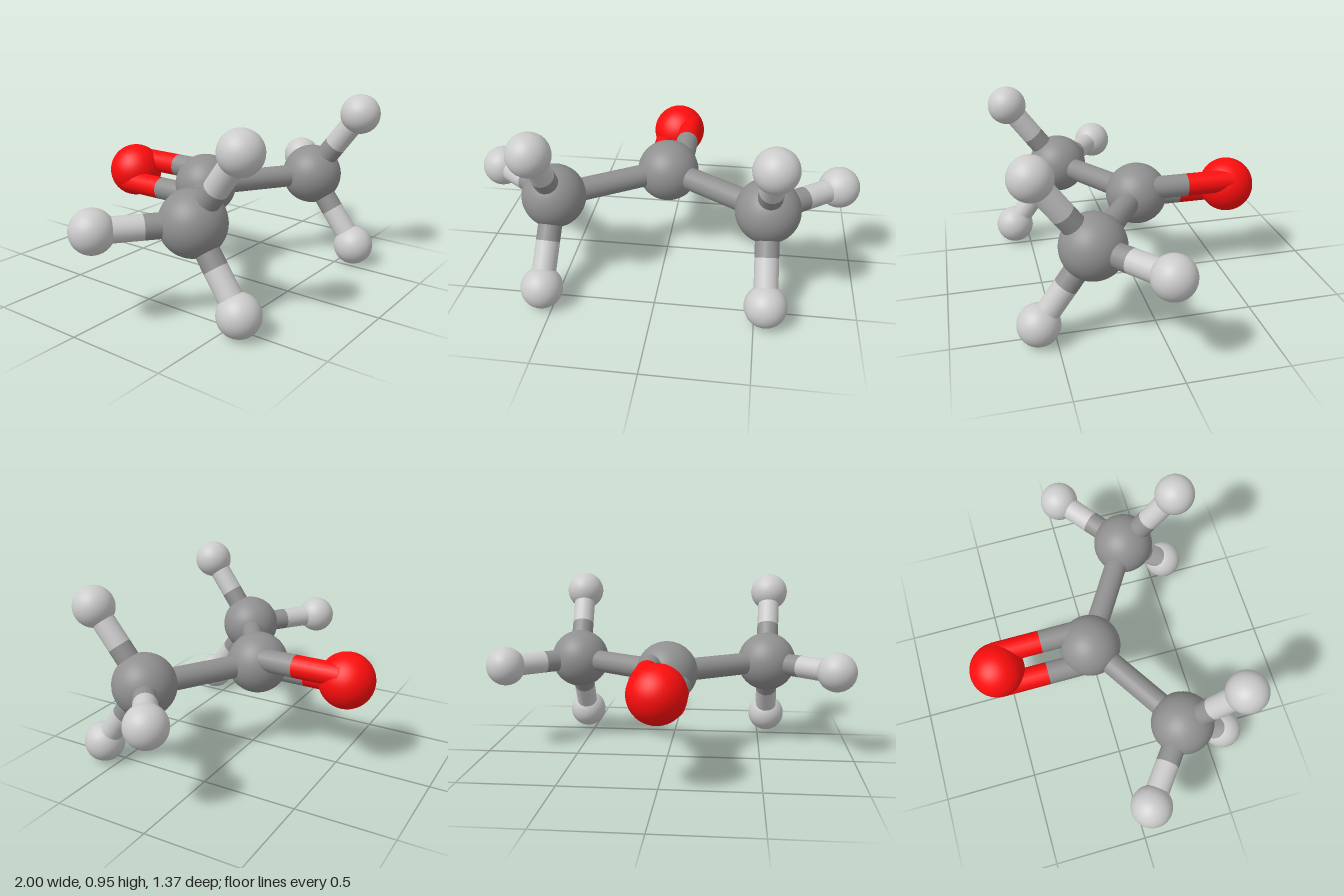
import * as THREE from 'three';

const MATERIALS = {
  carbon: new THREE.MeshStandardMaterial({ color: 0x909090 }),
  hydrogen: new THREE.MeshStandardMaterial({ color: 0xcccccc }),
  oxygen: new THREE.MeshStandardMaterial({ color: 0xff0d0d }),
};
const RADII = { carbon: 0.162, hydrogen: 0.105, oxygen: 0.145 };
const BOND_RADIUS = 0.06;
const UP = new THREE.Vector3(0, 1, 0);

export function createModel() {
  const model = new THREE.Group();
  model.name = 'molecule';

  // Ball for one atom
  function atom(kind, name, x, y, z) {
    const mesh = new THREE.Mesh(new THREE.SphereGeometry(RADII[kind], 40, 28), MATERIALS[kind]);
    mesh.name = name;
    mesh.position.set(x, y, z);
    model.add(mesh);
    return { kind, position: mesh.position };
  }

  // Stick running between two points
  function stick(kind, name, from, to) {
    const length = from.distanceTo(to);
    const mesh = new THREE.Mesh(
      new THREE.CylinderGeometry(BOND_RADIUS, BOND_RADIUS, length, 20), MATERIALS[kind]);
    mesh.name = name;
    mesh.position.copy(from).lerp(to, 0.5);
    mesh.quaternion.setFromUnitVectors(UP, to.clone().sub(from).normalize());
    model.add(mesh);
  }

  // Bond in two halves, each taking the colour of its own atom
  function bond(a, b, name, offset = new THREE.Vector3()) {
    const start = a.position.clone().add(offset);
    const end = b.position.clone().add(offset);
    if (a.kind === b.kind) return stick(a.kind, name, start, end);
    const middle = start.clone().lerp(end, 0.5);
    stick(a.kind, name + 'Inner', start, middle);
    stick(b.kind, name + 'Outer', middle, end);
  }

  // Centre and the double bond, its two sticks set on a diagonal
  const centre = atom('carbon', 'centreCarbon', 0, 0.48, -0.03);
  const oxygen = atom('oxygen', 'oxygen', 0, 0.48, -0.537);
  bond(centre, oxygen, 'upperDoubleBond', new THREE.Vector3(0.073, 0.051, 0));
  bond(centre, oxygen, 'lowerDoubleBond', new THREE.Vector3(-0.073, -0.051, 0));

  // Mirrored side groups: one carbon with three hydrogens each
  for (const [side, s] of [['left', 1], ['right', -1]]) {
    const carbon = atom('carbon', side + 'Carbon', s * 0.536, 0.48, 0.312);
    bond(centre, carbon, side + 'CarbonBond');
    const hydrogens = [
      ['Outer', 0.895, 0.48, 0.035],
      ['Upper', 0.552, 0.847, 0.582],
      ['Lower', 0.552, 0.108, 0.582],
    ];
    for (const [label, x, y, z] of hydrogens) {
      const hydrogen = atom('hydrogen', side + label + 'Hydrogen', s * x, y, z);
      bond(carbon, hydrogen, side + label + 'HydrogenBond');
    }
  }
  return model;
}
